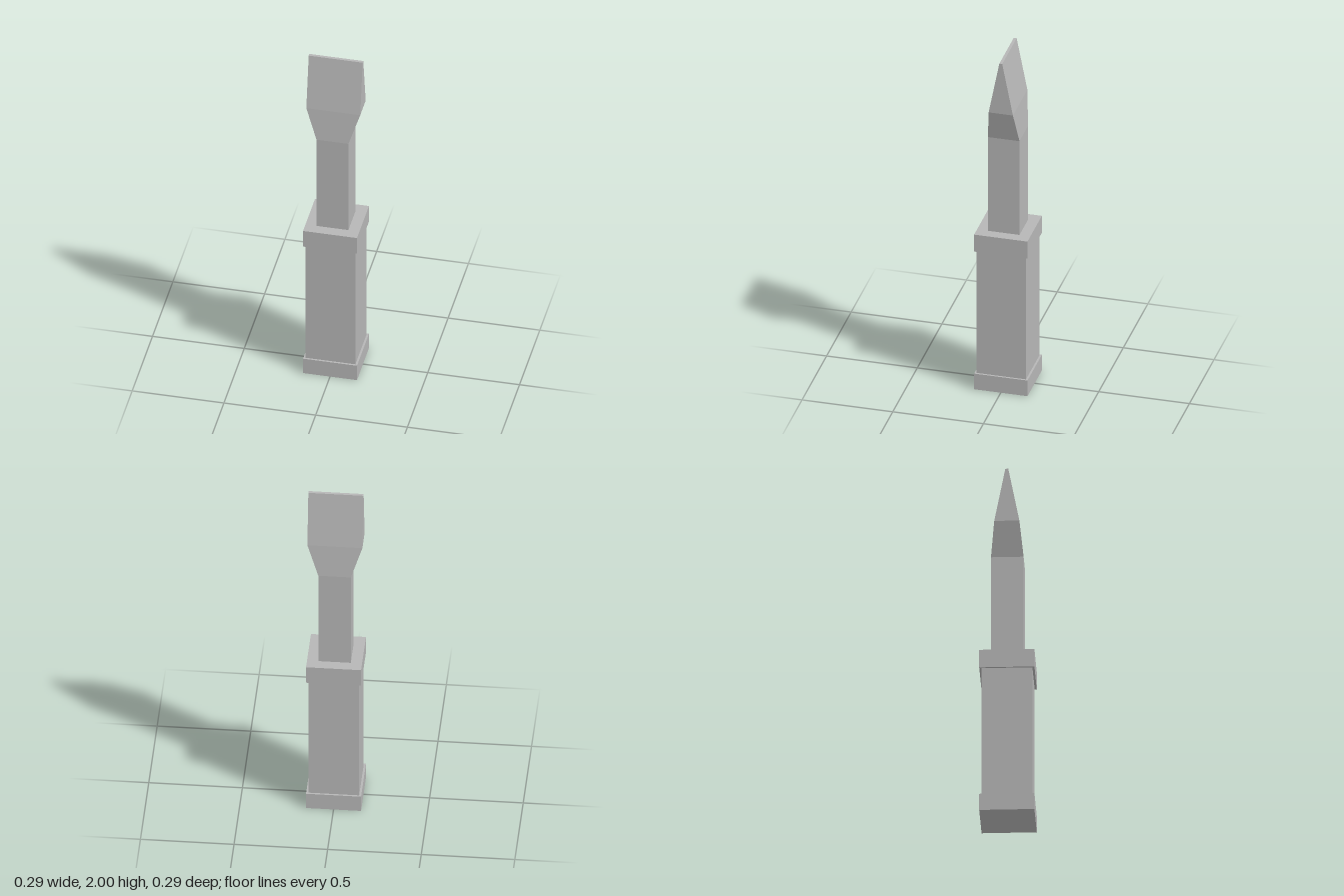
import * as THREE from 'three';

const steel = new THREE.MeshStandardMaterial({ color: 0xb6b6b6 });
steel.name = 'plain grey';

// Square block standing between two heights
function block(name, halfWidth, y0, y1) {
  const mesh = new THREE.Mesh(new THREE.BoxGeometry(halfWidth * 2, y1 - y0, halfWidth * 2), steel);
  mesh.position.y = (y0 + y1) / 2;
  mesh.name = name;
  return mesh;
}

// Flat-faced solid through rectangular sections [y, halfX, halfZ], bottom to top
function loft(sections) {
  const rings = sections.map(([y, x, z]) => [[-x, y, z], [x, y, z], [x, y, -z], [-x, y, -z]]);
  const positions = [];
  const quad = (a, b, c, d) => positions.push(...a, ...b, ...c, ...a, ...c, ...d);
  for (let i = 0; i < rings.length - 1; i++) {
    const low = rings[i], high = rings[i + 1];
    for (let j = 0; j < 4; j++) {
      const k = (j + 1) % 4;
      quad(low[j], low[k], high[k], high[j]);
    }
  }
  const [a, b, c, d] = rings[0];
  quad(d, c, b, a);
  quad(...rings[rings.length - 1]);
  const geometry = new THREE.BufferGeometry();
  geometry.setAttribute('position', new THREE.Float32BufferAttribute(positions, 3));
  geometry.computeVertexNormals();
  return geometry;
}

export function createModel() {
  const model = new THREE.Group();
  model.name = 'chisel';

  // Handle with a collar at each end
  model.add(block('buttCollar', 0.147, 0, 0.095));
  model.add(block('handle', 0.136, 0.095, 0.837));
  model.add(block('upperCollar', 0.147, 0.837, 0.94));

  // Square shank flaring into a wide, wedge-shaped blade
  const blade = new THREE.Mesh(loft([
    [0.94, 0.087, 0.087],
    [1.51, 0.087, 0.087],
    [1.695, 0.147, 0.067],
    [2, 0.147, 0.008],
  ]), steel);
  blade.name = 'shankAndBlade';
  model.add(blade);

  return model;
}
